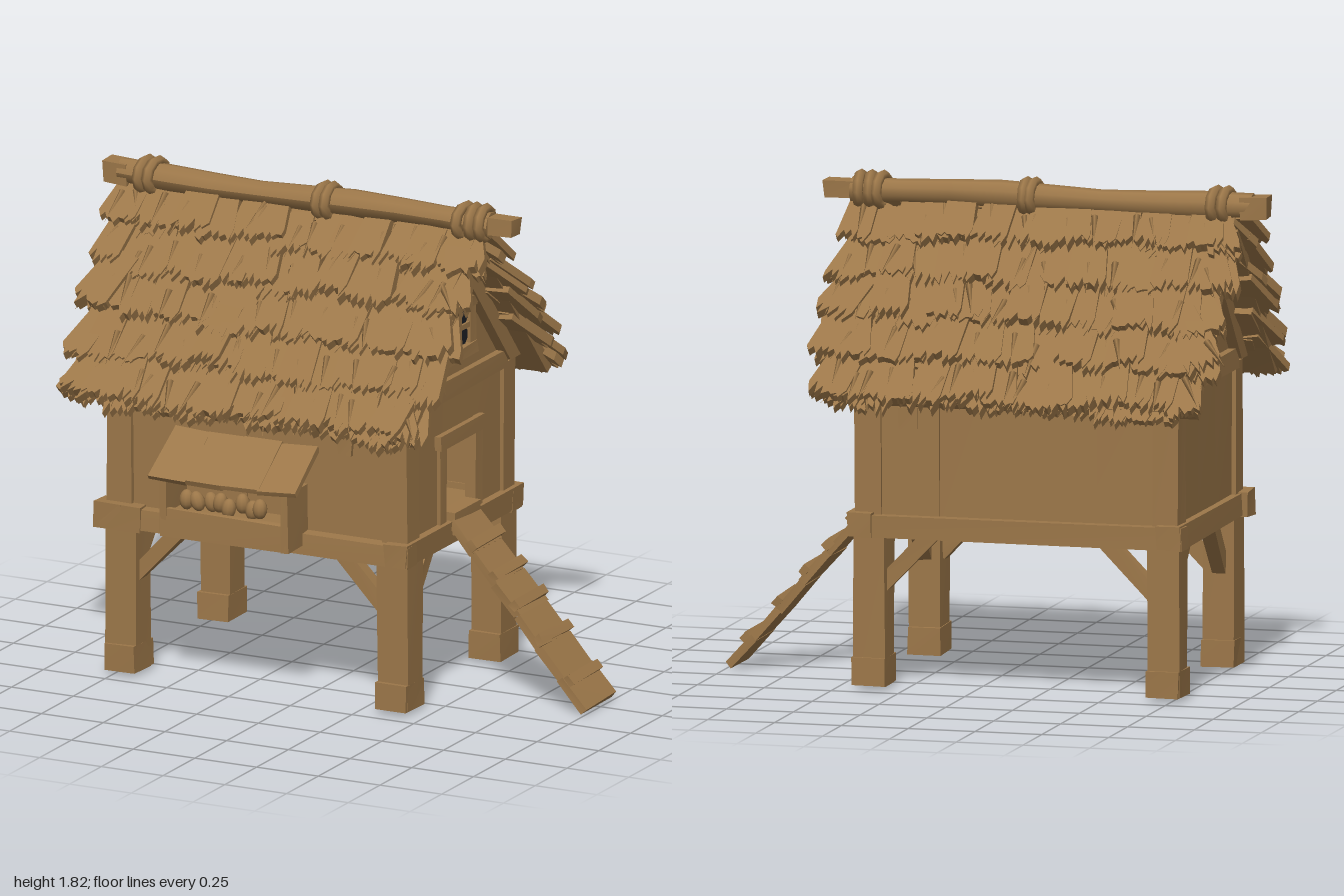
import * as THREE from 'three';
import { mergeGeometries } from 'three/addons/utils/BufferGeometryUtils.js';

const wood = new THREE.MeshStandardMaterial({ color: 0x9c7749 });
wood.name = 'brown wood and straw';
const glass = new THREE.MeshStandardMaterial({ color: 0x1d1f26 });
glass.name = 'dark glass';

export function createModel() {
  const root = new THREE.Group();
  root.name = 'stiltCoop';
  let seed = 7;
  const rnd = () => (seed = (seed * 16807) % 2147483647) / 2147483647;
  const jit = (a) => (rnd() - 0.5) * 2 * a;

  const add = (name, geo, x = 0, y = 0, z = 0, mat = wood) => {
    const m = new THREE.Mesh(geo, mat);
    m.name = name;
    m.position.set(x, y, z);
    root.add(m);
    return m;
  };
  // Box with slightly uneven, hand-cut corners
  const roughBox = (sx, sy, sz, rough = 0.004) => {
    const g = new THREE.BoxGeometry(sx, sy, sz);
    const off = Array.from({ length: 8 }, () => [jit(rough), jit(rough), jit(rough)]);
    const p = g.attributes.position;
    for (let i = 0; i < p.count; i++) {
      const o = off[(p.getX(i) > 0) + 2 * (p.getY(i) > 0) + 4 * (p.getZ(i) > 0)];
      p.setXYZ(i, p.getX(i) + o[0], p.getY(i) + o[1], p.getZ(i) + o[2]);
    }
    g.computeVertexNormals();
    return g;
  };
  // Box given by its min and max on each axis
  const block = (name, x0, x1, y0, y1, z0, z1, mat = wood, rough = 0.004) =>
    add(name, roughBox(x1 - x0, y1 - y0, z1 - z0, rough), (x0 + x1) / 2, (y0 + y1) / 2, (z0 + z1) / 2, mat);
  // Square timber between two points
  const timber = (name, a, b, w, d) => {
    const A = new THREE.Vector3(...a), B = new THREE.Vector3(...b);
    const m = add(name, roughBox(w, A.distanceTo(B), d));
    m.position.lerpVectors(A, B, 0.5);
    m.quaternion.setFromUnitVectors(new THREE.Vector3(0, 1, 0), B.sub(A).normalize());
    return m;
  };

  const X0 = -0.78, X1 = 0.435, CX = (X0 + X1) / 2, HX = (X1 - X0) / 2;

  // Legs, feet, corner posts and braces
  for (const sx of [-1, 1]) for (const sz of [-1, 1]) {
    const lx = CX + sx * (HX - 0.058), lz = sz * 0.37;
    add('leg', roughBox(0.118, 0.56, 0.122), lx, 0.3, lz);
    add('foot', roughBox(0.123, 0.1, 0.15, 0.003), lx, 0.07, lz);
    add('cornerPost', roughBox(0.1, 0.5, 0.095), CX + sx * (HX - 0.05), 0.88, sz * 0.38);
    timber('sideBrace', [lx - sx * 0.04, 0.38, lz], [lx - sx * 0.24, 0.59, lz], 0.055, 0.055);
    timber('endBrace', [lx, 0.38, lz - sz * 0.04], [lx, 0.59, lz - sz * 0.22], 0.055, 0.055);
  }

  // Floor, sill beams and wall plates
  block('floor', X0 + 0.05, X1 - 0.05, 0.575, 0.62, -0.4, 0.4);
  for (const s of [-1, 1]) {
    block('sideSill', -0.8, 0.45, 0.565, 0.645, s * 0.415 - 0.04, s * 0.415 + 0.04);
    const ex = CX + s * (HX - 0.03);
    block('endSill', ex - 0.045, ex + 0.045, 0.565, 0.65, -0.462, 0.462);
    block('wallPlate', X0 + 0.02, X1 - 0.02, 1.05, 1.12, s * 0.38 - 0.045, s * 0.38 + 0.045);
    block('endPlate', ex - 0.035, ex + 0.035, 1.11, 1.18, -0.36, 0.36);
  }
  block('sillCap', -0.815, -0.63, 0.56, 0.655, 0.37, 0.465);

  // Wide plank walls along the sides
  for (const s of [-1, 1]) {
    const cuts = [-0.69, -0.47, -0.22, -0.02, 0.12, 0.34];
    for (let i = 0; i < 5; i++) {
      const z = s * (0.395 + jit(0.004));
      block('sidePlank', cuts[i], cuts[i + 1], 0.63, 1.07, z - 0.015, z + 0.015, wood, 0.002);
    }
  }
  block('patchBoard', 0.15, 0.21, 0.95, 1.03, 0.4, 0.422);
  block('patchBoard', 0.2, 0.27, 0.96, 1.04, -0.422, -0.4);

  // Plank walls at the ends, with a doorway on the right end
  for (const s of [-1, 1]) {
    const cuts = [-0.34, -0.12, 0.12, 0.34];
    for (let i = 0; i < 3; i++) {
      const x = CX + s * (HX - 0.03 + jit(0.003)), overDoor = s > 0 && i === 1;
      block('endPlank', x - 0.015, x + 0.015, overDoor ? 0.94 : 0.63, 1.12, cuts[i], cuts[i + 1], wood, 0.002);
    }
  }
  block('doorLintel', 0.4, 0.445, 0.935, 0.99, -0.175, 0.18);
  for (const s of [-1, 1]) block('doorPost', 0.39, 0.436, 0.63, 0.94, s * 0.137 - 0.025, s * 0.137 + 0.025);

  // Gables with rafters
  const outline = (pts) => new THREE.Shape(pts.map((p) => new THREE.Vector2(...p)));
  const gable = outline([[-0.42, 1.12], [0.42, 1.12], [0, 1.62]]);
  const rafters = outline([[-0.44, 1.14], [-0.36, 1.14], [0, 1.56], [0.36, 1.14], [0.44, 1.14], [0, 1.65]]);
  for (const s of [-1, 1]) {
    const wall = new THREE.ExtrudeGeometry(gable, { depth: 0.03, bevelEnabled: false });
    const raft = new THREE.ExtrudeGeometry(rafters, { depth: 0.05, bevelEnabled: false });
    add('gableWall', wall, CX + s * (HX - 0.04) - 0.015).rotation.y = Math.PI / 2;
    add('rafters', raft, CX + s * (HX - 0.01) - 0.025).rotation.y = Math.PI / 2;
  }

  // Gable window
  for (const s of [-1, 1]) {
    block('windowUpright', 0.395, 0.436, 1.25, 1.44, s * 0.098 - 0.021, s * 0.098 + 0.021);
    block('windowRail', 0.395, 0.442, 1.345 + s * 0.09 - 0.02, 1.345 + s * 0.09 + 0.02, -0.12, 0.12);
  }
  block('windowBarUpright', 0.405, 0.432, 1.26, 1.43, -0.012, 0.012, wood, 0.001);
  block('windowBarCross', 0.405, 0.432, 1.337, 1.357, -0.085, 0.085, wood, 0.001);
  for (const y of [1.31, 1.385]) for (const z of [-0.041, 0.041])
    add('windowPane', new THREE.CylinderGeometry(0.034, 0.034, 0.008, 8, 1, false, Math.PI / 8).rotateZ(Math.PI / 2), 0.42, y, z, glass);

  // Nest box with slatted lid and eggs
  block('nestFront', -0.49, 0.02, 0.6, 0.7, 0.55, 0.573);
  block('nestFloor', -0.48, 0.01, 0.6, 0.69, 0.4, 0.555);
  for (const x of [-0.478, 0.012]) {
    block('nestSide', x - 0.015, x + 0.015, 0.6, 0.82, 0.4, 0.575);
    timber('lidArm', [x, 0.81, 0.57], [x, 0.92, 0.42], 0.025, 0.025);
  }
  for (let i = 0; i < 4; i++) {
    const x = -0.445 + i * 0.15, d = jit(0.008);
    timber('lidSlat', [x, 0.825 + d, 0.615 + d], [x * 0.96 - 0.01, 0.955, 0.41], 0.152, 0.02);
  }
  const egg = new THREE.SphereGeometry(0.027, 10, 8);
  for (let i = 0; i < 8; i++) {
    const e = add('egg', egg, -0.41 + i * 0.042, 0.725 + jit(0.012), 0.5 + jit(0.02));
    e.scale.y = 1.4;
    e.rotation.z = jit(0.4);
  }

  // Ramp with cleats
  const top = new THREE.Vector3(0.44, 0.65, 0), foot = new THREE.Vector3(0.988, 0.016, 0);
  const slope = Math.atan2(foot.y - top.y, foot.x - top.x);
  const onRamp = (name, t, len, h, w, lift) => {
    const m = add(name, roughBox(len, h, w));
    m.position.lerpVectors(top, foot, t).add(new THREE.Vector3(-Math.sin(slope) * lift, Math.cos(slope) * lift, 0));
    m.rotation.z = slope;
  };
  for (let i = 0; i < 6; i++) onRamp('rampBoard', (i + 0.5) / 6, 0.14, 0.03, 0.205 + i * 0.007, jit(0.002));
  for (const t of [0.14, 0.3, 0.46, 0.64, 0.86]) onRamp('rampCleat', t, 0.036, 0.03, 0.235, 0.024);
  block('doorStep', 0.4, 0.46, 0.6, 0.685, -0.1, 0.095);

  // Roof decks under the straw
  const PITCH = -0.729;
  for (const s of [-1, 1])
    timber('roofDeck', [-0.18, 1.675, 0], [-0.18, 1.075, s * 0.535], 1.4, 0.04);

  // One straw clump: broad ragged slab with its tips at y = 0, and a loose straw on top
  const clump = (w, len) => {
    const n = 5, pts = [[-w * 0.42, len]];
    for (let i = 0; i < n; i++) {
      const x = -w / 2 + (i * w) / n;
      pts.push([x, 0.03 + jit(0.022)], [x + (w / n) * (0.2 + rnd() * 0.6), jit(0.018)]);
    }
    pts.push([w / 2, 0.04], [w * 0.42, len]);
    const slab = new THREE.ExtrudeGeometry(outline(pts), { depth: 0.022 + rnd() * 0.016, bevelEnabled: false });
    const straw = new THREE.ConeGeometry(0.013, 0.15, 4).toNonIndexed();
    straw.rotateX(Math.PI).rotateZ(jit(0.3)).translate(jit(w * 0.4), 0.07 + jit(0.03), 0.026);
    return mergeGeometries([slab, straw]);
  };

  // Five overlapping courses of straw on both slopes, each two layers deep
  const rows = [0.595, 0.485, 0.37, 0.255, 0.14];
  for (const s of [-1, 1]) rows.forEach((zTip, r) => {
    const geos = [], x0 = r ? -0.885 : -0.845, x1 = r ? 0.53 : 0.51, n = 14;
    for (let layer = 0; layer < 2; layer++) for (let i = 0; i <= n; i++) {
      const u = i / n, edge = i === 0 ? -1 : i === n ? 1 : 0;
      const z = zTip - layer * 0.025 + jit(0.014);
      const g = clump(0.115 + rnd() * 0.04, r < 4 ? 0.25 : 0.19);
      g.rotateZ(edge * (0.15 + rnd() * 0.3) * s + jit(0.16));
      g.rotateX(PITCH - 0.1 - rnd() * 0.1);
      g.translate(0, 1.745 - layer * 0.06 - 1.12 * z + jit(0.012), z);
      if (s < 0) g.rotateY(Math.PI);
      g.translate(x0 + (x1 - x0) * u + jit(0.015), 0, 0);
      geos.push(g);
    }
    add('strawCourse', mergeGeometries(geos));
  });

  // Ridge log: cross-sections vary a little along its length
  const logGeo = new THREE.CylinderGeometry(0.047, 0.047, 1.5, 9, 8).rotateZ(Math.PI / 2);
  const p = logGeo.attributes.position;
  for (let i = 0; i < p.count; i++) {
    const x = p.getX(i), k = 1 + 0.1 * Math.sin(x * 9);
    p.setXYZ(i, x, p.getY(i) * k + 0.006 * Math.sin(x * 5), p.getZ(i) * k);
  }
  logGeo.computeVertexNormals();
  add('ridgeLog', logGeo, -0.19, 1.757, 0);
  block('ridgeEnd', -0.998, -0.9, 1.715, 1.795, -0.04, 0.04);
  block('ridgeEnd', 0.52, 0.66, 1.727, 1.79, -0.035, 0.035);

  // Rope lashings round the ridge
  for (const x of [-0.84, -0.8, -0.12, -0.09, 0.45, 0.49, 0.53]) {
    const rope = add('ridgeLashing', new THREE.TorusGeometry(0.06, 0.02, 6, 10), x, 1.757, 0);
    rope.rotation.y = Math.PI / 2 + jit(0.12);
    rope.scale.set(1.08, 0.93, 1);
  }
  return root;
}
